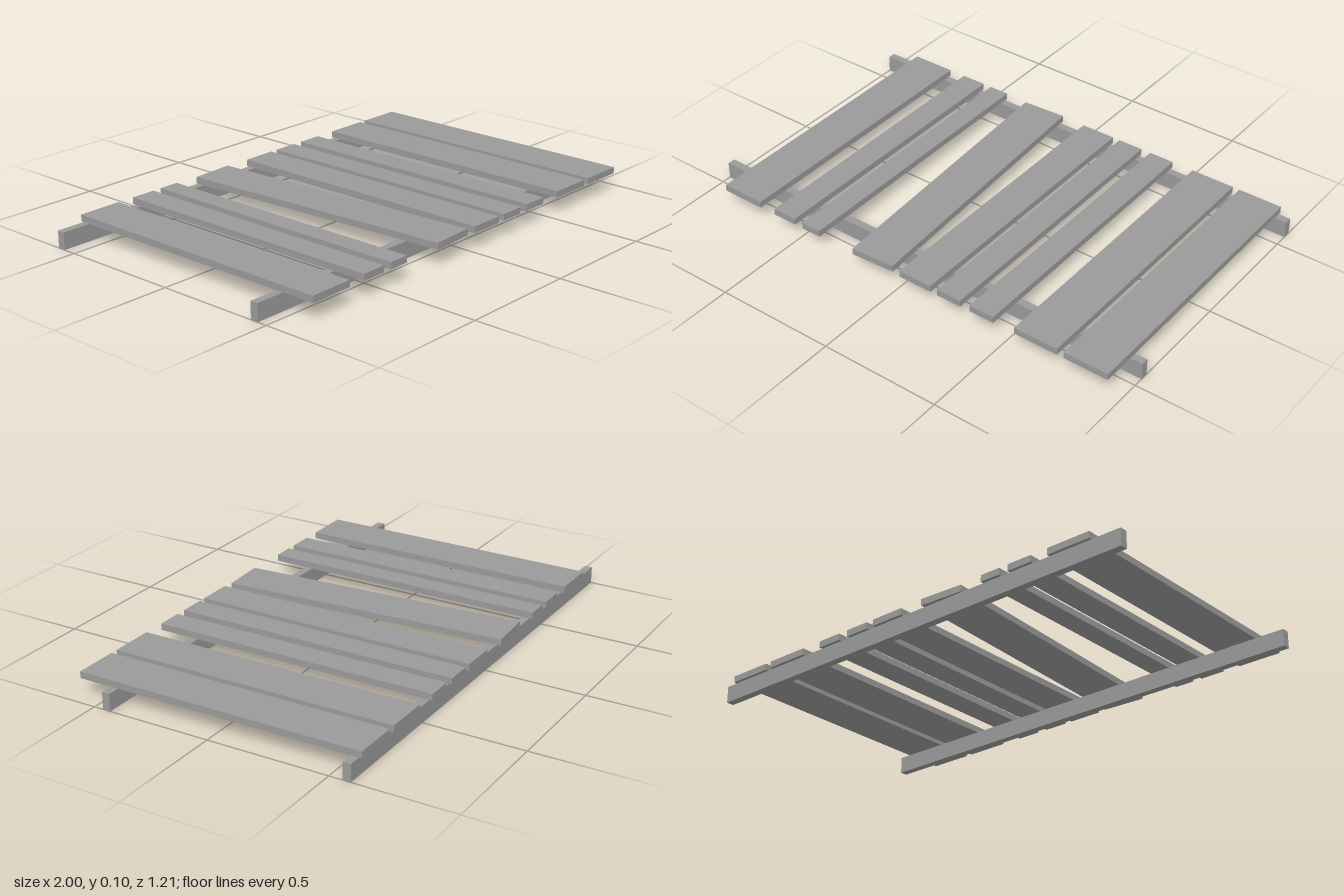
import * as THREE from 'three';

const RAIL_HEIGHT = 0.07;
const PLANK_THICKNESS = 0.027;
const PLANK_LENGTH = 1.2;

export function createModel() {
  const model = new THREE.Group();
  model.name = 'plankPlatform';
  const wood = new THREE.MeshStandardMaterial({ color: 0x9a9a9a, flatShading: true });

  const addBoard = (name, size, position, turn = 0) => {
    const board = new THREE.Mesh(new THREE.BoxGeometry(...size), wood);
    board.name = name;
    board.position.set(...position);
    board.rotation.y = turn;
    model.add(board);
  };

  // Two long rails on the ground
  addBoard('frontRail', [2, RAIL_HEIGHT, 0.032], [0, RAIL_HEIGHT / 2, 0.444]);
  addBoard('backRail', [2, RAIL_HEIGHT, 0.032], [0, RAIL_HEIGHT / 2, -0.571]);

  // Planks across the rails: centre x, width, turn (one has slipped askew)
  const planks = [
    [-0.782, 0.187],
    [-0.561, 0.107],
    [-0.425, 0.087],
    [-0.151, 0.187, 0.058],
    [0.089, 0.147],
    [0.248, 0.107],
    [0.398, 0.107],
    [0.639, 0.187],
    [0.855, 0.187],
  ];
  planks.forEach(([x, width, turn], i) => {
    addBoard(`plank${i + 1}`, [width, PLANK_THICKNESS, PLANK_LENGTH],
      [x, RAIL_HEIGHT + PLANK_THICKNESS / 2, 0], turn);
  });

  return model;
}
